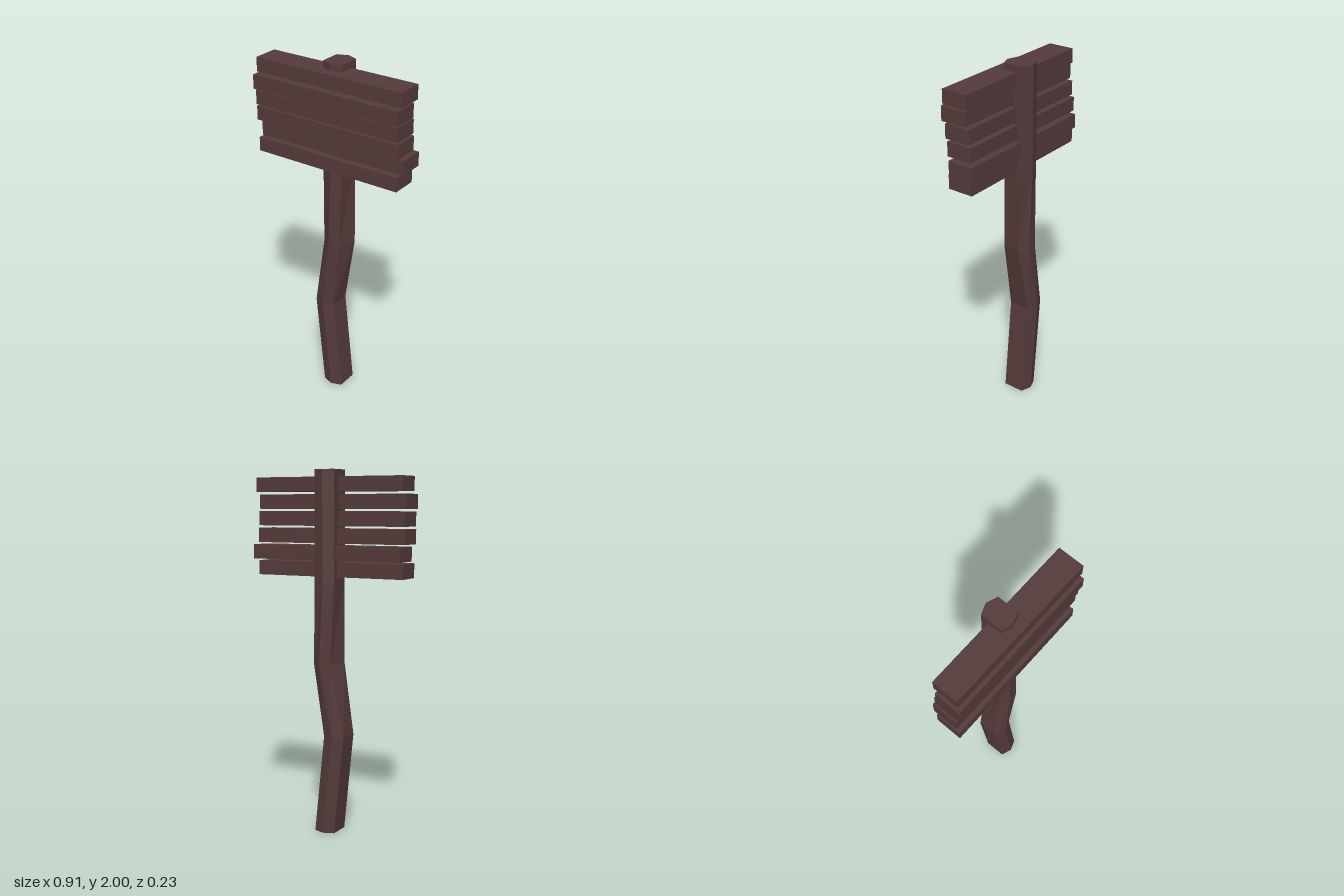
import * as THREE from 'three';

const wood = new THREE.MeshStandardMaterial({ color: 0x543b3a });
wood.name = 'dark wood';

// Hexagonal post section, counter-clockwise seen from above (x, z)
const HEX = [[0.06, -0.06], [0, -0.082], [-0.06, -0.06], [-0.06, 0.06], [0, 0.082], [0.06, 0.06]];

// Post stations: height, sideways shift, twist in radians
const STATIONS = [[0, -0.003, 0], [0.55, -0.06, 0], [0.95, 0, 0.23], [1.4, -0.003, 0], [2, -0.003, 0]];

function ring([y, shift, twist]) {
  const c = Math.cos(twist), s = Math.sin(twist);
  return HEX.map(([x, z]) => [shift + x * c - z * s, y, -0.033 + x * s + z * c]);
}

function postGeometry() {
  const rings = STATIONS.map(ring);
  const points = [];
  const tri = (a, b, c) => points.push(...a, ...b, ...c);
  // Sides
  for (let i = 0; i < rings.length - 1; i++) {
    for (let j = 0; j < 6; j++) {
      const k = (j + 1) % 6;
      const a = rings[i][j], b = rings[i][k], c = rings[i + 1][k], d = rings[i + 1][j];
      tri(a, b, c);
      tri(a, c, d);
    }
  }
  // End caps
  const bottom = rings[0], top = rings[rings.length - 1];
  for (let j = 1; j < 5; j++) {
    tri(top[0], top[j], top[j + 1]);
    tri(bottom[0], bottom[j + 1], bottom[j]);
  }
  const geometry = new THREE.BufferGeometry();
  geometry.setAttribute('position', new THREE.Float32BufferAttribute(points, 3));
  geometry.computeVertexNormals();
  return geometry;
}

// Uneven planks, top to bottom: centre x, y, z and length
const PLANKS = [
  [0.005, 1.923, 0.021, 0.895],
  [-0.006, 1.83, 0.04, 0.898],
  [-0.008, 1.739, 0.024, 0.889],
  [-0.011, 1.646, 0.014, 0.894],
  [0.006, 1.555, -0.008, 0.9],
  [-0.008, 1.466, 0.014, 0.883],
];

export function createModel() {
  const model = new THREE.Group();
  model.name = 'signpost';

  const post = new THREE.Mesh(postGeometry(), wood);
  post.name = 'post';
  model.add(post);

  const board = new THREE.Group();
  board.name = 'signBoard';
  PLANKS.forEach(([x, y, z, length], i) => {
    const plank = new THREE.Mesh(new THREE.BoxGeometry(length, 0.079, 0.148), wood);
    plank.name = `plank${i + 1}`;
    plank.position.set(x, y, z);
    board.add(plank);
  });
  model.add(board);
  return model;
}
